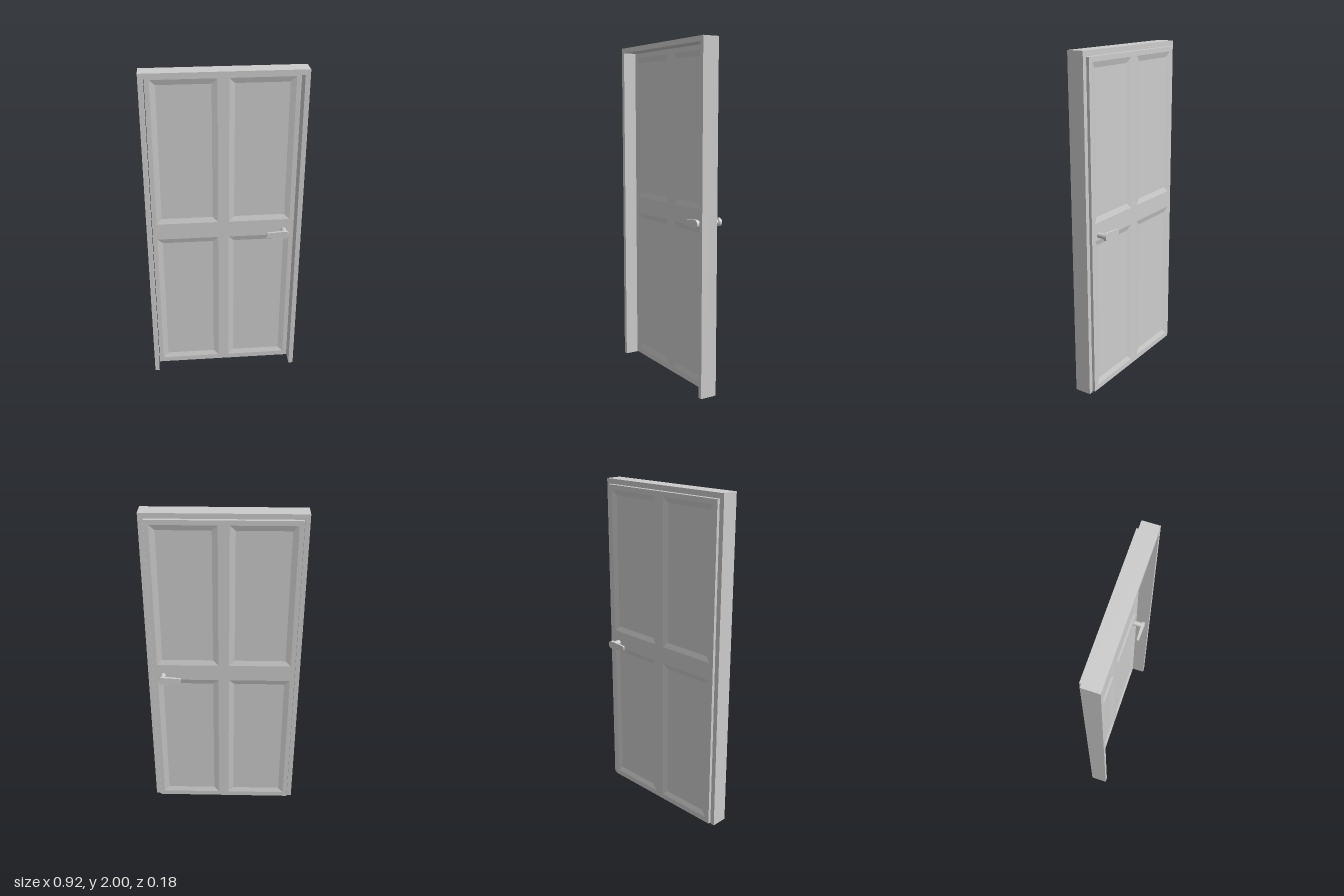
import * as THREE from 'three';

const grey = new THREE.MeshStandardMaterial({ color: 0xcccccc });

function addMesh(parent, name, geometry) {
  const mesh = new THREE.Mesh(geometry, grey);
  mesh.name = name;
  parent.add(mesh);
  return mesh;
}

// Corners of an upright rectangle, counter-clockwise seen from +z
const rect = (x0, x1, y0, y1, z) => [[x0, y0, z], [x1, y0, z], [x1, y1, z], [x0, y1, z]];
const inset = ([a, , c], d, z) => rect(a[0] + d, c[0] - d, a[1] + d, c[1] - d, z);

// One moulded half of the leaf: nested rectangles joined by quads
function leafHalfGeometry() {
  const pos = [];
  const quad = (a, b, c, d) => pos.push(...a, ...b, ...c, ...a, ...c, ...d);
  const ring = (A, B) => {
    for (let i = 0; i < 4; i++) {
      const j = (i + 1) % 4;
      quad(A[i], A[j], B[j], B[i]);
    }
  };
  const w = 0.427, bottom = 0.005, top = 1.968, split = 1.005, h = 0.0175, recess = 0.009;

  // outer edge of the leaf
  ring(rect(-w, w, bottom, top, 0), rect(-w, w, bottom, top, h));

  // four recessed panels with sloping borders
  const rows = [[bottom, split, 0.038, 0.953], [split, top, 1.057, 1.94]];
  const columns = [[-w, 0, -0.4, -0.032], [0, w, 0.032, 0.4]];
  for (const [cy0, cy1, y0, y1] of rows) {
    for (const [cx0, cx1, x0, x1] of columns) {
      const rim = rect(x0, x1, y0, y1, h);
      const floor = inset(rim, 0.032, h - recess);
      ring(rect(cx0, cx1, cy0, cy1, h), rim);
      ring(rim, floor);
      quad(...floor);
    }
  }
  const geometry = new THREE.BufferGeometry();
  geometry.setAttribute('position', new THREE.Float32BufferAttribute(pos, 3));
  geometry.computeVertexNormals();
  return geometry;
}

// Frame: two jambs and a head, open at the floor
function frameGeometry() {
  const o = 0.458, i = 0.43, head = 1.97;
  const shape = new THREE.Shape([
    [-o, 0], [-i, 0], [-i, head], [i, head], [i, 0], [o, 0], [o, 2], [-o, 2],
  ].map(([x, y]) => new THREE.Vector2(x, y)));
  return new THREE.ExtrudeGeometry(shape, { depth: 0.1, bevelEnabled: false }).translate(0, 0, -0.01);
}

// Tapered lever, round at the spindle, thinner towards its tip
function leverGeometry() {
  const R = 0.024, r = 0.008, tip = -0.111, depth = 0.018;
  const shape = new THREE.Shape();
  shape.moveTo(tip + r, -0.016);
  shape.lineTo(-0.005, -R);
  shape.absarc(0, 0, R, -Math.PI / 2, Math.PI / 2, false);
  shape.lineTo(tip + r, 0.016);
  shape.quadraticCurveTo(tip, 0.015, tip, 0.008);
  shape.lineTo(tip, -0.008);
  shape.quadraticCurveTo(tip, -0.015, tip + r, -0.016);
  const geometry = new THREE.ExtrudeGeometry(shape, { depth, bevelEnabled: false, curveSegments: 12 });
  geometry.translate(0, 0, -depth / 2);
  const p = geometry.attributes.position;
  for (let i = 0; i < p.count; i++) {
    p.setZ(i, p.getZ(i) * (1 + 0.35 * Math.min(0, p.getX(i)) / 0.111));
  }
  geometry.computeVertexNormals();
  return geometry;
}

export function createModel() {
  const model = new THREE.Group();
  model.name = 'panelDoor';
  addMesh(model, 'doorFrame', frameGeometry());

  const door = new THREE.Group();
  door.name = 'door';
  door.position.z = -0.0075;
  model.add(door);

  // Leaf: the same half for the front and the back
  const half = leafHalfGeometry();
  addMesh(door, 'leafFront', half);
  addMesh(door, 'leafBack', half).rotation.y = Math.PI;

  // A handle on each face
  const lever = leverGeometry();
  const spindle = new THREE.CylinderGeometry(0.016, 0.016, 0.055, 24).rotateX(Math.PI / 2);
  for (const [name, s] of [['frontHandle', 1], ['backHandle', -1]]) {
    const handle = new THREE.Group();
    handle.name = name;
    handle.position.set(0.366, 0.984, 0);
    addMesh(handle, 'spindle', spindle).position.z = s * 0.042;
    addMesh(handle, 'lever', lever).position.z = s * 0.076;
    door.add(handle);
  }
  return model;
}
